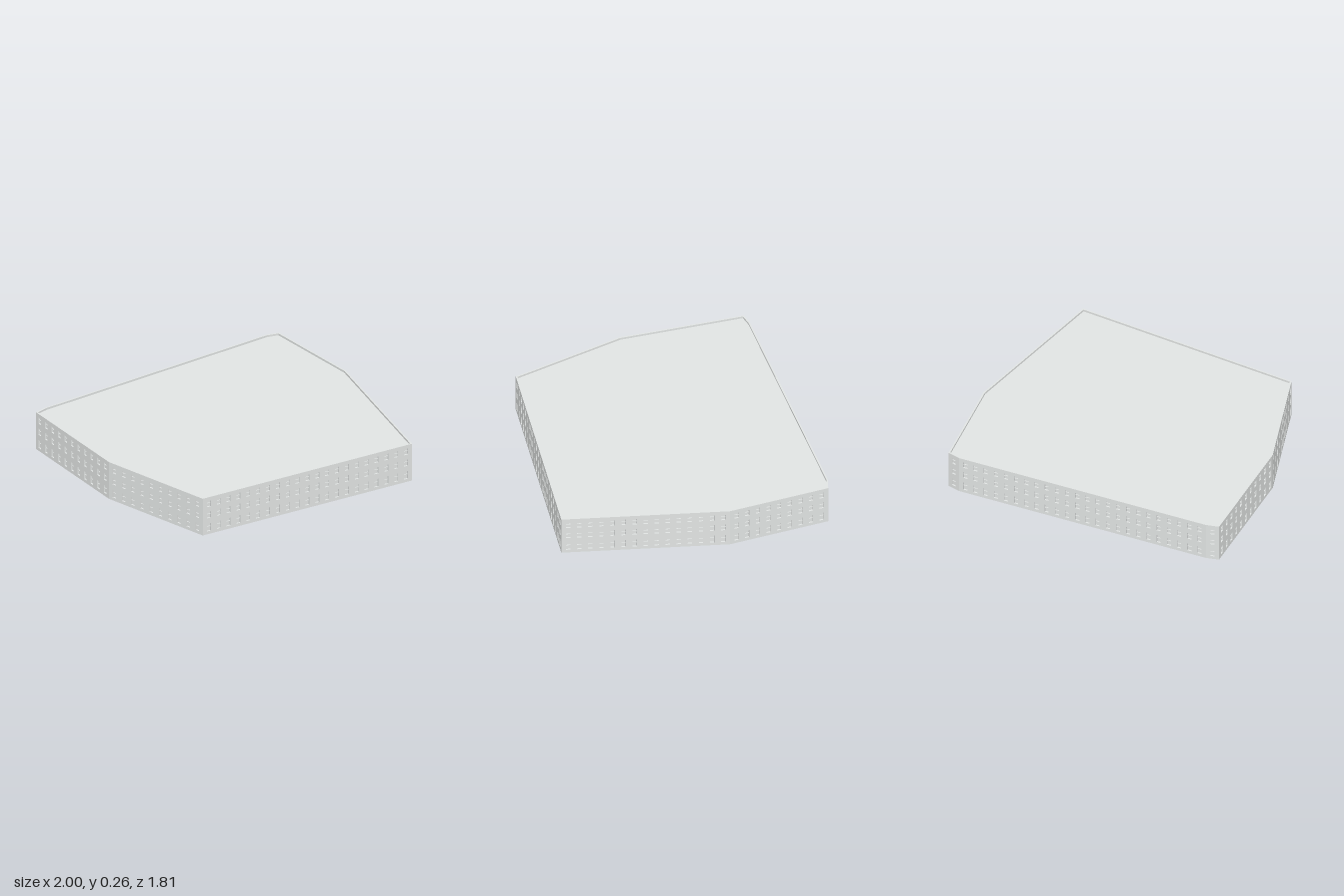
import * as THREE from 'three';
import { mergeGeometries } from 'three/addons/utils/BufferGeometryUtils.js';

const HEIGHT = 0.262, ROOF = 0.248, THICK = 0.01;
const WINDOW_STEP = 0.07, WINDOW_WIDTH = 0.028, END_MARGIN = 0.044;
const STOREYS = [[0.021, 0.076], [0.114, 0.159], [0.194, 0.236]]; // sill and head heights

// Footprint corners as [x, z], anticlockwise seen from above
const FOOTPRINT = [
  [-0.565, 0.902], [0.945, 0.815], [1, -0.25], [0.845, -0.895],
  [0.76, -0.905], [-0.92, -0.635], [-1, -0.605], [-0.88, 0.2],
].map(([x, z]) => new THREE.Vector2(x, z));

const corner = (i) => FOOTPRINT[(i + FOOTPRINT.length) % FOOTPRINT.length];

function inwardNormal(i) {
  const d = corner(i + 1).clone().sub(corner(i)).normalize();
  return new THREE.Vector2(d.y, -d.x);
}

// Footprint moved inwards by the wall thickness, with mitred corners
function insetFootprint() {
  return FOOTPRINT.map((p, i) => {
    const a = inwardNormal(i - 1), b = inwardNormal(i);
    const q = p.clone().addScaledVector(a.clone().add(b), THICK / (1 + a.dot(b)));
    return new THREE.Vector2(q.x, -q.y);
  });
}

function rectangle(PathType, x0, y0, x1, y1) {
  return new PathType([[x0, y0], [x1, y0], [x1, y1], [x0, y1]]
    .map(([x, y]) => new THREE.Vector2(x, y)));
}

// Evenly spaced window centres, with one in the middle of a short wall
function windowCentres(length) {
  const count = Math.floor(length / WINDOW_STEP);
  if (count < 2) return [length / 2];
  const step = (length - 2 * END_MARGIN) / (count - 1);
  return Array.from({ length: count }, (_, i) => END_MARGIN + i * step);
}

// One straight facade with pierced windows and recessed transoms
function createFacade(length, material) {
  const facade = new THREE.Group();
  const wall = rectangle(THREE.Shape, 0, 0, length, HEIGHT);
  const transoms = [];
  for (const x of windowCentres(length)) {
    for (const [sill, head] of STOREYS) {
      wall.holes.push(rectangle(THREE.Path, x - WINDOW_WIDTH / 2, sill, x + WINDOW_WIDTH / 2, head));
      transoms.push(new THREE.BoxGeometry(WINDOW_WIDTH, 0.004, 0.006)
        .translate(x, sill + (head - sill) * 0.55, 0.003 - THICK));
    }
  }
  const wallGeometry = new THREE.ExtrudeGeometry(wall, { depth: THICK, bevelEnabled: false });
  wallGeometry.translate(0, 0, -THICK);
  const wallMesh = new THREE.Mesh(wallGeometry, material);
  wallMesh.name = 'facadeWall';
  const transomMesh = new THREE.Mesh(mergeGeometries(transoms), material);
  transomMesh.name = 'windowTransoms';
  facade.add(wallMesh, transomMesh);
  return facade;
}

export function createModel() {
  const model = new THREE.Group();
  model.name = 'building';
  const concrete = new THREE.MeshStandardMaterial({ color: 0xe2e5e4 });
  concrete.name = 'pale concrete';

  // Solid core: flat roof, window backs and base
  const coreGeometry = new THREE.ExtrudeGeometry(new THREE.Shape(insetFootprint()),
    { depth: ROOF, bevelEnabled: false });
  coreGeometry.rotateX(-Math.PI / 2);
  const core = new THREE.Mesh(coreGeometry, concrete);
  core.name = 'roofAndCore';
  model.add(core);

  // Facades rise above the roof as a parapet
  FOOTPRINT.forEach((p, i) => {
    const d = corner(i + 1).clone().sub(p);
    const facade = createFacade(d.length(), concrete);
    facade.name = `facade${i + 1}`;
    facade.position.set(p.x, 0, p.y);
    facade.rotation.y = Math.atan2(-d.y, d.x);
    model.add(facade);
  });
  return model;
}
